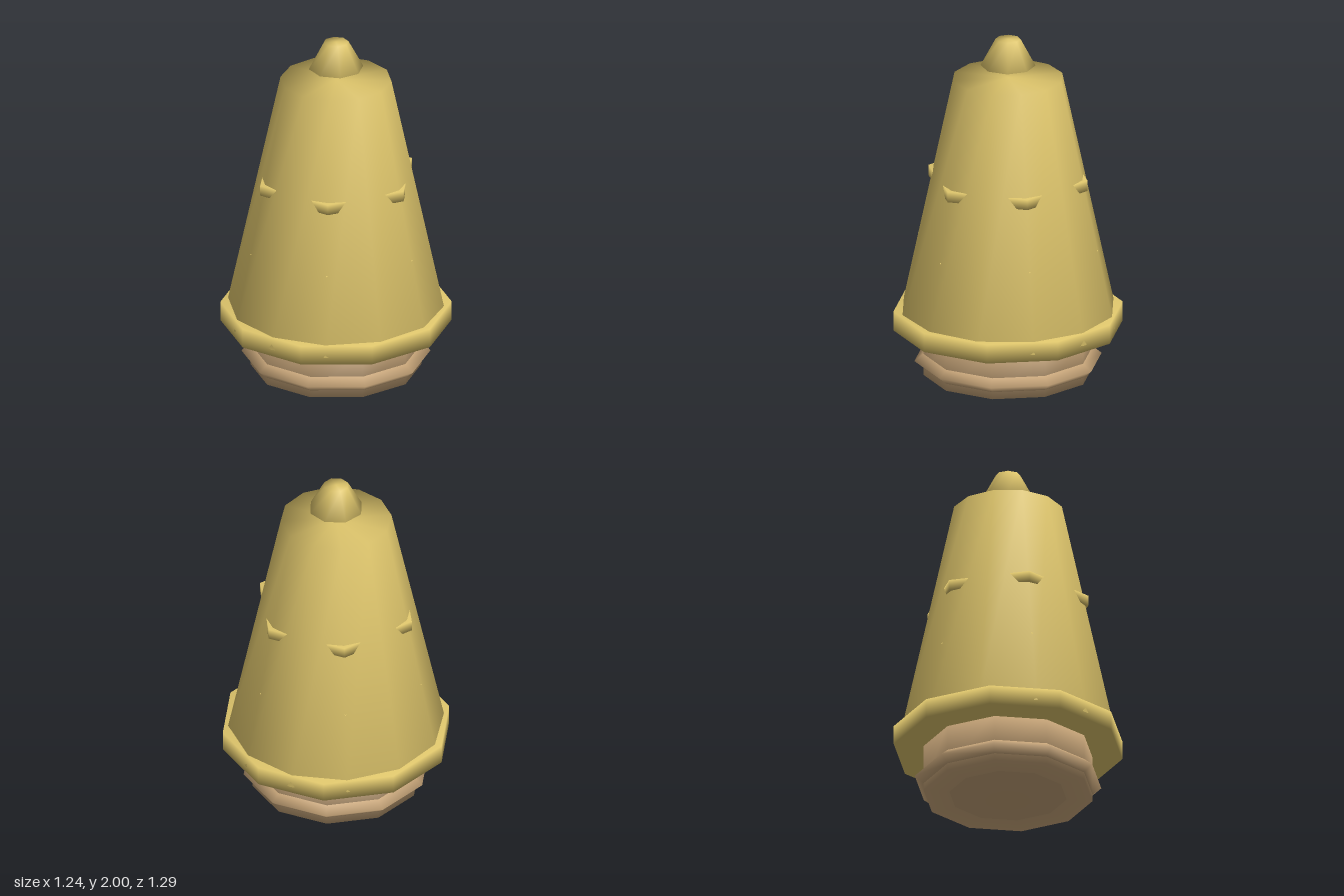
import * as THREE from 'three';
import { mergeVertices } from 'three/addons/utils/BufferGeometryUtils.js';

const gold = new THREE.MeshStandardMaterial({ color: 0xdfc66c });
gold.name = 'gold';
const tan = new THREE.MeshStandardMaterial({ color: 0xc6a478 });
tan.name = 'tan';

// Weld a geometry so its normals run smoothly over every edge
function weld(geometry) {
  geometry.deleteAttribute('normal');
  geometry.deleteAttribute('uv');
  const welded = mergeVertices(geometry, 1e-4);
  welded.computeVertexNormals();
  return welded;
}

// Closed, low-sided drum between two heights
function drum(name, rTop, rBottom, y0, y1, sides, material) {
  const geometry = new THREE.CylinderGeometry(rTop, rBottom, y1 - y0, sides);
  geometry.translate(0, (y0 + y1) / 2, 0);
  const mesh = new THREE.Mesh(weld(geometry), material);
  mesh.name = name;
  return mesh;
}

// Ten-sided turned part from [radius, height] pairs, listed bottom to top
function turned(name, profile, material) {
  const points = profile.map(([r, y]) => new THREE.Vector2(r, y));
  const mesh = new THREE.Mesh(weld(new THREE.LatheGeometry(points, 10)), material);
  mesh.name = name;
  return mesh;
}

export function createModel() {
  const model = new THREE.Group();
  model.name = 'taperedShell';

  // Tapered body and the separate tip hovering over it
  model.add(drum('body', 0.31, 0.618, 0.35, 1.775, 12, gold));
  model.add(drum('tip', 0.07, 0.153, 1.845, 2, 8, gold));

  // Six-sided bands whose corners poke through the body
  model.add(drum('upperBand', 0.462, 0.462, 1.15, 1.21, 6, gold));
  model.add(drum('lowerBand', 0.5215, 0.5215, 0.75, 0.805, 6, gold));

  // Wide collar at the foot of the body
  model.add(drum('collar', 0.643, 0.643, 0.31, 0.42, 10, gold));

  // Base with a ridge around it and a shallow bulge underneath
  model.add(drum('base', 0.475, 0.475, 0.04, 0.33, 10, tan));
  model.add(turned('ridge', [[0.46, 0.075], [0.475, 0.082], [0.525, 0.123], [0.475, 0.164], [0.46, 0.17]], tan));
  model.add(turned('bottomBulge', [[0, 0], [0.21, 0.015], [0.335, 0.041]], tan));

  return model;
}
